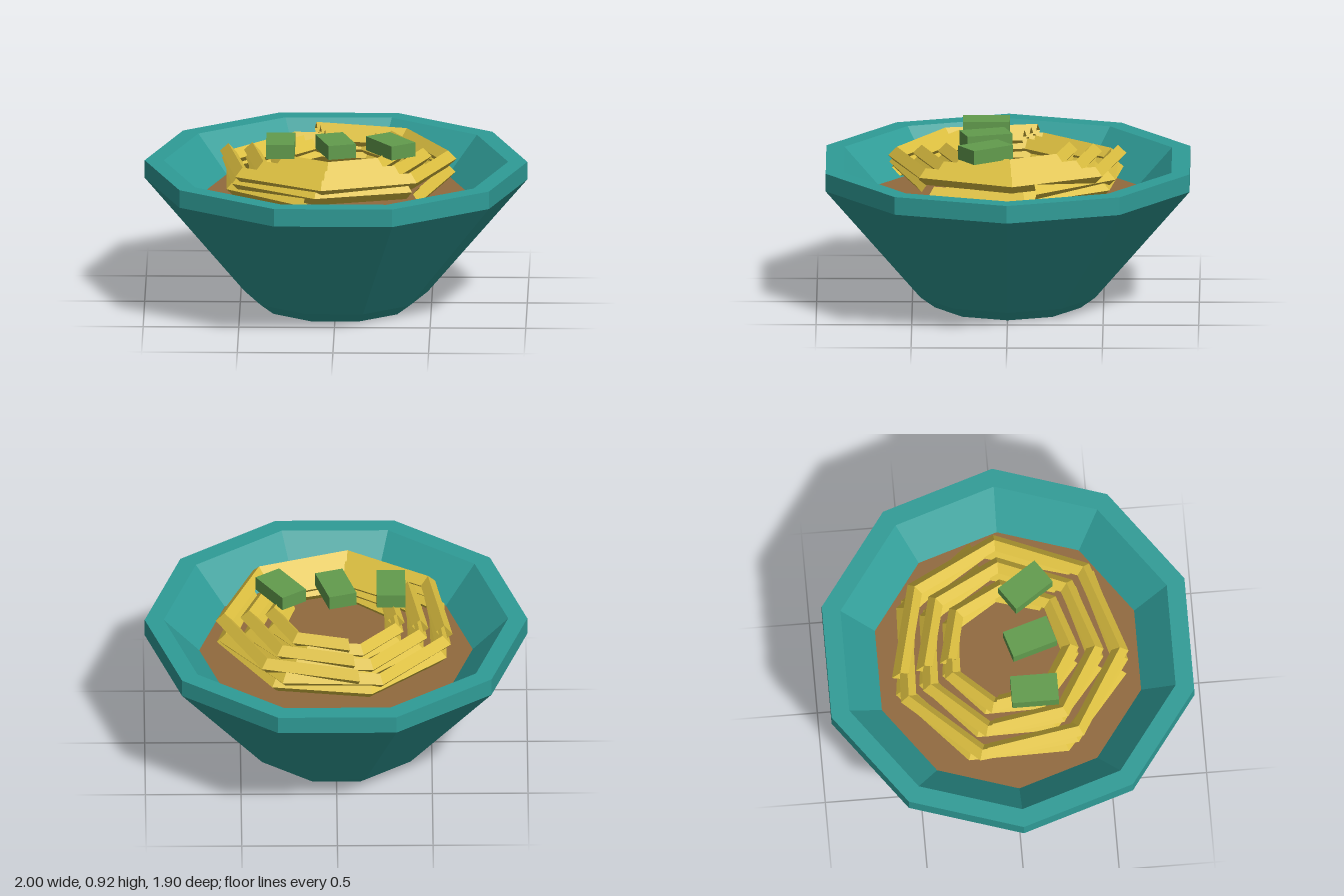
import * as THREE from 'three';

const makeMaterial = (name, color, side = THREE.FrontSide) => {
  const m = new THREE.MeshStandardMaterial({ color, flatShading: true, side });
  m.name = name;
  return m;
};

export function createModel() {
  const group = new THREE.Group();
  const teal = makeMaterial('teal glaze', 0x2f9c97);
  const brown = makeMaterial('brown broth', 0x916a3e);
  const yellow = makeMaterial('yellow noodle', 0xdcbf40, THREE.DoubleSide);
  const green = makeMaterial('green onion', 0x629c4d);

  const add = (name, geometry, material, x = 0, y = 0, z = 0) => {
    const mesh = new THREE.Mesh(geometry, material);
    mesh.name = name;
    mesh.position.set(x, y, z);
    group.add(mesh);
    return mesh;
  };

  // Ten-sided bowl: foot, flared wall, upright rim and sloping inside
  const profile = [
    [0, 0], [0.4, 0], [0.48, 0.06], [1, 0.67], [1, 0.765], [0.9, 0.765], [0.705, 0.565],
  ].map(([r, y]) => new THREE.Vector2(r, y));
  const bowl = new THREE.LatheGeometry(profile, 10);
  bowl.rotateY(Math.PI / 10);
  add('bowl', bowl, teal);

  // Broth surface
  const broth = new THREE.CircleGeometry(0.715, 10);
  broth.rotateX(-Math.PI / 2);
  add('broth', broth, brown, 0, 0.575, 0);

  // Three layers of open noodle rings with a diamond cross-section
  const radii = [0.585, 0.455, 0.325];
  const starts = [105, 50, 259];
  starts.forEach((start, layer) => {
    radii.forEach((radius, ring) => {
      const noodle = new THREE.TorusGeometry(radius, 0.045, 4, 6, THREE.MathUtils.degToRad(296));
      noodle.rotateZ(THREE.MathUtils.degToRad(start));
      noodle.rotateX(Math.PI / 2);
      add('noodle', noodle, yellow, 0, 0.685 + (layer * 3 + ring) * 0.0148, 0);
    });
  });

  // Chopped onion pieces, each turned a little further
  for (let i = 0; i < 3; i++) {
    const piece = add('onionPiece', new THREE.BoxGeometry(0.15, 0.075, 0.245), green,
      (i - 1) * 0.288, 0.878, 0.115);
    piece.rotation.y = i * 0.3;
  }

  return group;
}
